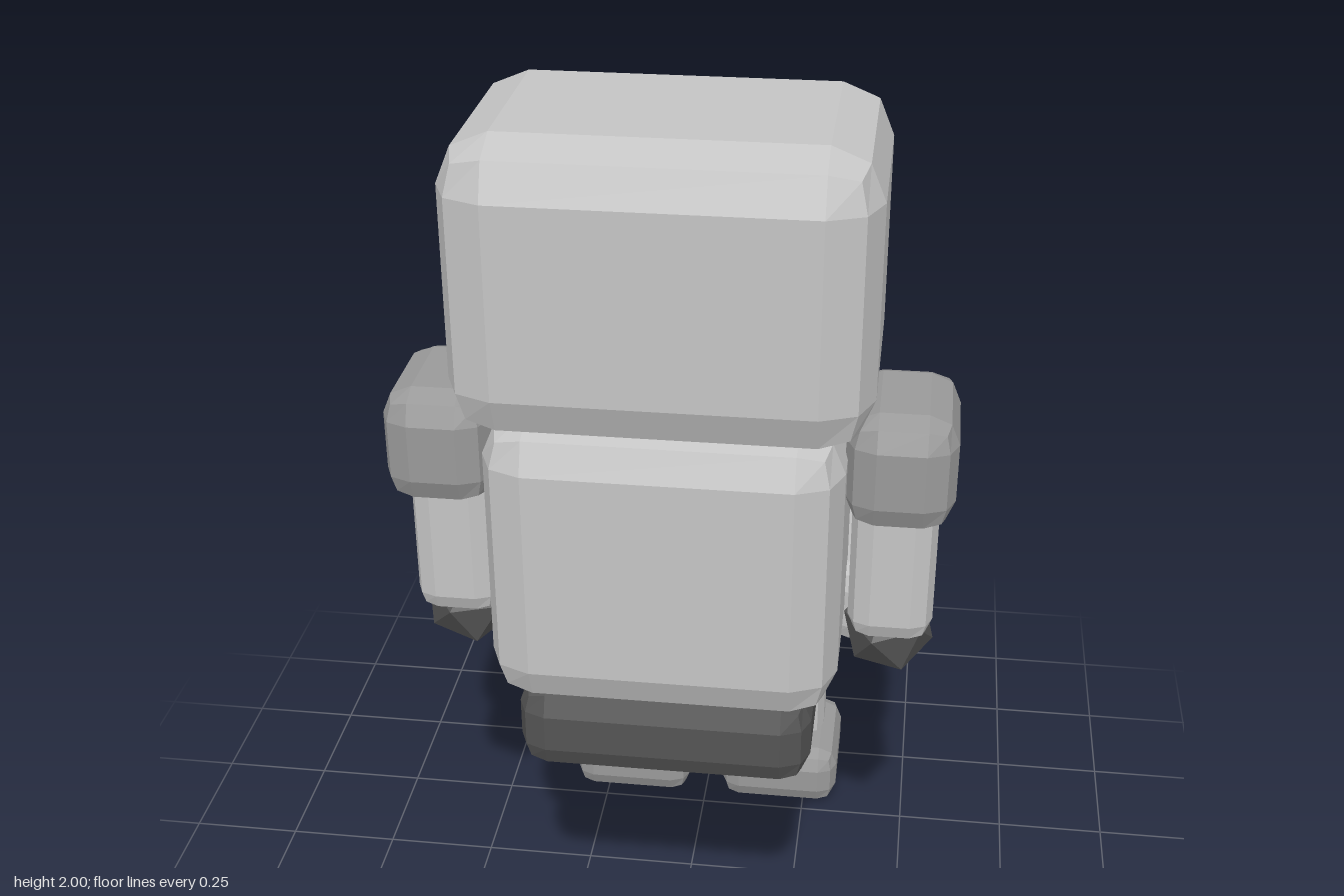
import * as THREE from 'three';
import { RoundedBoxGeometry } from 'three/addons/geometries/RoundedBoxGeometry.js';

export function createModel() {
  const mat = (name, color) => {
    const m = new THREE.MeshStandardMaterial({ color, flatShading: true });
    m.name = name;
    return m;
  };
  const shell = mat('light grey shell', 0xc4c4c4);
  const pad = mat('mid grey padding', 0x999999);
  const joint = mat('dark grey joint', 0x545454);
  const black = mat('black visor', 0x202020);
  const glow = mat('pale light', 0xd0d0d0);

  const robot = new THREE.Group();
  robot.name = 'seatedRobot';

  const add = (parent, name, geometry, material, x, y, z) => {
    const mesh = new THREE.Mesh(geometry, material);
    mesh.name = name;
    mesh.position.set(x, y, z);
    parent.add(mesh);
    return mesh;
  };

  // Bevelled block given by its [min, max] range on each axis
  const block = (parent, name, material, [x0, x1], [y0, y1], [z0, z1], bevel) =>
    add(parent, name, new RoundedBoxGeometry(x1 - x0, y1 - y0, z1 - z0, 1, bevel), material,
      (x0 + x1) / 2, (y0 + y1) / 2, (z0 + z1) / 2);

  // Faceted ball joint with one corner pointing up
  const ball = (parent, name, r, x, y, z) =>
    add(parent, name, new THREE.IcosahedronGeometry(r, 0).rotateZ(0.5536), joint, x, y, z);

  // Head, torso and pelvis
  block(robot, 'head', shell, [-0.4, 0.4], [1.42, 2], [0, 0.566], 0.1);
  block(robot, 'torso', shell, [-0.35, 0.35], [0.815, 1.44], [0.03, 0.535], 0.09);
  block(robot, 'pelvis', joint, [-0.302, 0.302], [0.63, 0.83], [0.07, 0.495], 0.06);

  // Face: visor, eyes and mouth
  block(robot, 'visor', black, [-0.3, 0.3], [1.58, 1.84], [-0.02, 0.02], 0.01);
  for (const s of [-1, 1]) {
    add(robot, 'eye', new RoundedBoxGeometry(0.085, 0.12, 0.03, 1, 0.01), glow, s * 0.149, 1.735, -0.023);
  }
  block(robot, 'mouth', joint, [-0.135, 0.135], [1.49, 1.532], [-0.012, 0.05], 0.008);

  // Chest: panel, diamond light and lower slot
  block(robot, 'chestPanel', joint, [-0.21, 0.21], [1.02, 1.38], [0.005, 0.05], 0.012);
  const diamond = add(robot, 'chestLight', new RoundedBoxGeometry(0.118, 0.118, 0.03, 1, 0.008), glow, 0, 1.21, 0.003);
  diamond.rotation.z = Math.PI / 4;
  block(robot, 'chestSlot', joint, [-0.15, 0.15], [0.92, 0.962], [0.012, 0.06], 0.008);

  // Limbs, mirrored left and right
  for (const s of [1, -1]) {
    const side = s > 0 ? 'left' : 'right';
    const span = (c, w) => [s * c - w / 2, s * c + w / 2];

    const arm = new THREE.Group();
    arm.name = side + 'Arm';
    block(arm, 'shoulder', pad, span(0.453, 0.215), [1.21, 1.45], [0.13, 0.435], 0.06);
    block(arm, 'upperArm', shell, span(0.447, 0.172), [0.915, 1.26], [0.183, 0.36], 0.045);
    ball(arm, 'elbow', 0.1, s * 0.445, 0.888, 0.235).rotation.set(0.35, 0, s * 0.1);
    block(arm, 'forearm', shell, span(0.411, 0.2), [0.8, 0.985], [-0.24, 0.2], 0.05);
    block(arm, 'hand', pad, span(0.377, 0.21), [0.815, 0.95], [-0.373, -0.215], 0.045);
    robot.add(arm);

    const leg = new THREE.Group();
    leg.name = side + 'Leg';
    block(leg, 'thigh', shell, span(0.187, 0.238), [0.63, 0.822], [-0.367, 0.23], 0.05);
    ball(leg, 'knee', 0.125, s * 0.186, 0.66, -0.42);
    block(leg, 'shin', shell, span(0.19, 0.202), [0.1, 0.615], [-0.545, -0.37], 0.05);
    block(leg, 'foot', pad, span(0.187, 0.29), [0, 0.15], [-0.56, -0.265], 0.045);
    robot.add(leg);
  }

  return robot;
}
